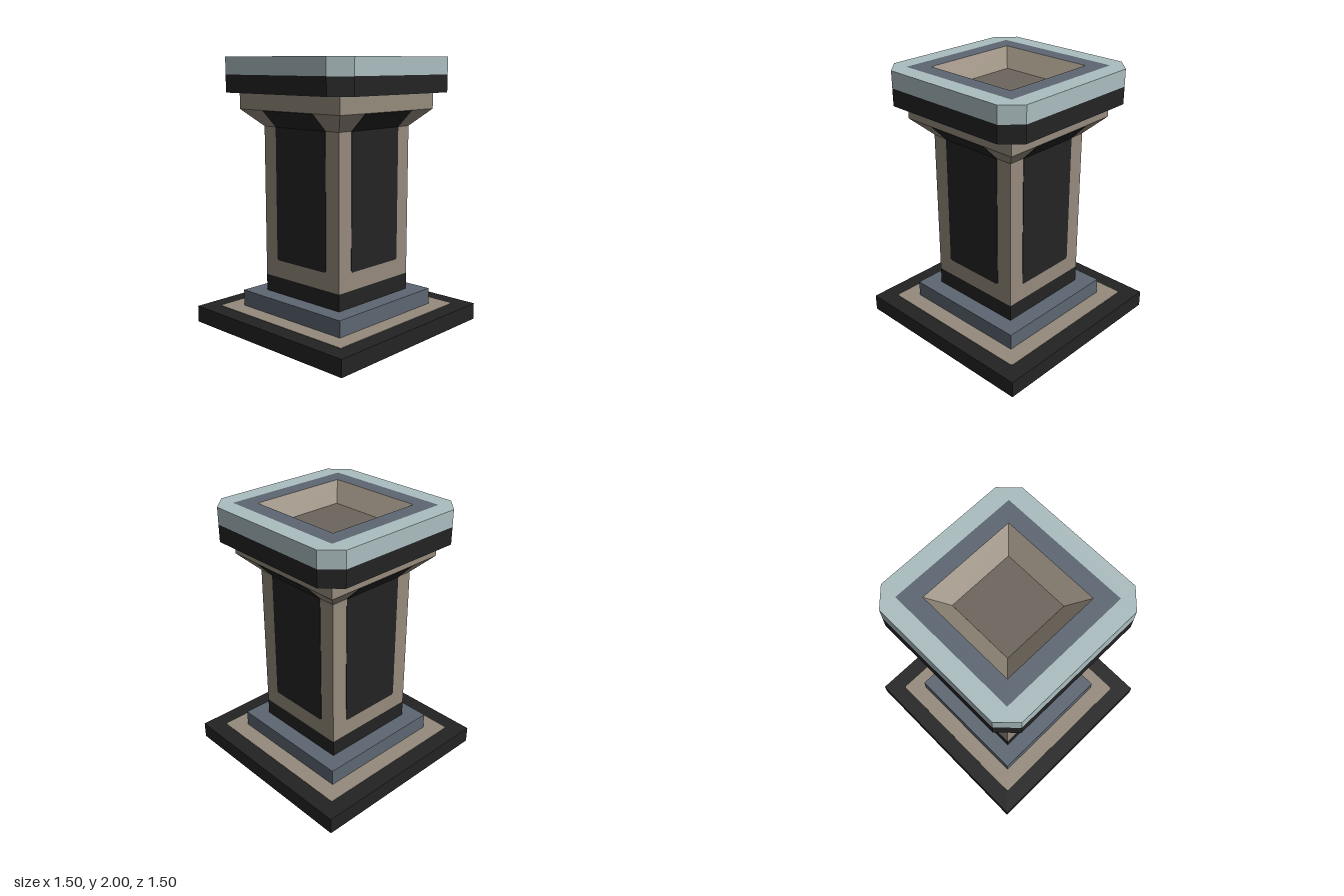
import * as THREE from 'three';

const mat = (name, color) => {
  const m = new THREE.MeshStandardMaterial({ color });
  m.name = name;
  return m;
};

export function createModel() {
  const black = mat('black stone', 0x232323);
  const tan = mat('tan stone', 0x958a7c);
  const slate = mat('slate', 0x5d6772);
  const pale = mat('pale blue stone', 0xabbdc0);
  const floorTone = mat('basin floor', 0x6c655c);

  const group = new THREE.Group();
  group.name = 'pedestal';

  const add = (name, geometry, material, parent = group) => {
    const mesh = new THREE.Mesh(geometry, material);
    mesh.name = name;
    parent.add(mesh);
    return mesh;
  };

  // Square block given by half width and height range
  const block = (name, half, y0, y1, material) => {
    const mesh = add(name, new THREE.BoxGeometry(half * 2, y1 - y0, half * 2), material);
    mesh.position.y = (y0 + y1) / 2;
  };

  // Four-sided tapered shell, flat faced
  const taper = (h0, h1, y0, y1) => {
    const r = Math.SQRT2;
    const indexed = new THREE.CylinderGeometry(h1 * r, h0 * r, y1 - y0, 4, 1, true);
    indexed.rotateY(Math.PI / 4);
    indexed.translate(0, (y0 + y1) / 2, 0);
    return indexed.toNonIndexed();
  };

  // Square outline with cut corners
  const outline = (half, cut, Kind = THREE.Shape) => {
    const a = half - cut;
    const pts = cut
      ? [[a, -half], [half, -a], [half, a], [a, half], [-a, half], [-half, a], [-half, -a], [-a, -half]]
      : [[half, -half], [half, half], [-half, half], [-half, -half]];
    return new Kind(pts.map(([x, y]) => new THREE.Vector2(x, y)));
  };

  // Horizontal slab, optionally with a square hole
  const slab = (name, half, cut, hole, y0, y1, material) => {
    const shape = outline(half, cut);
    if (hole) shape.holes.push(outline(hole, 0, THREE.Path));
    const g = new THREE.ExtrudeGeometry(shape, { depth: y1 - y0, bevelEnabled: false });
    g.rotateX(-Math.PI / 2);
    g.translate(0, y0, 0);
    add(name, g, material);
  };

  // Stepped base
  block('basePlate', 0.75, 0, 0.125, black);
  slab('baseInlay', 0.625, 0.01, 0.49, 0.124, 0.128, tan);
  block('baseStep', 0.5, 0.125, 0.25, slate);
  block('shaftFoot', 0.375, 0.25, 0.375, black);

  // Shaft, flare and neck
  block('shaft', 0.375, 0.375, 1.5, tan);
  const flare = taper(0.375, 0.5, 1.5, 1.625);
  flare.computeVertexNormals();
  add('flare', flare, tan);
  block('neck', 0.5, 1.625, 1.75, tan);

  // Dark recess panels running up the shaft and over the flare
  const panel = new THREE.Shape();
  const w = 0.25, b = 0.507, c = 0.012;
  panel.moveTo(-w + c, b);
  panel.lineTo(w - c, b);
  panel.lineTo(w, b + c);
  panel.lineTo(w, 1.5);
  panel.lineTo(-w, 1.5);
  panel.lineTo(-w, b + c);
  const panelGeo = new THREE.ExtrudeGeometry(panel, { depth: 0.005, bevelEnabled: false });
  const flareGeo = new THREE.BoxGeometry(w * 2, 0.125 * Math.SQRT2, 0.007);
  for (let i = 0; i < 4; i++) {
    const side = new THREE.Group();
    side.name = 'sidePanel';
    side.rotation.y = i * Math.PI / 2;
    add('shaftPanel', panelGeo, black, side).position.z = 0.374;
    const upper = add('flarePanel', flareGeo, black, side);
    upper.position.set(0, 1.5625, 0.4375);
    upper.rotation.x = Math.PI / 4;
    group.add(side);
  }

  // Rim with cut corners
  slab('rimUnderside', 0.624, 0.125, 0.49, 1.747, 1.752, slate);
  slab('lowerRim', 0.625, 0.125, 0, 1.75, 1.875, black);
  slab('upperRim', 0.625, 0.125, 0.495, 1.875, 2, pale);
  slab('innerRim', 0.495, 0, 0.375, 1.876, 2, slate);

  // Sunken basin, turned inside out so its walls face inward
  const basin = taper(0.25, 0.375, 1.876, 2);
  basin.scale(-1, 1, 1);
  const p = basin.attributes.position;
  const a = new THREE.Vector3(), d = new THREE.Vector3();
  const n = new THREE.Vector3().fromBufferAttribute(p, 0);
  a.fromBufferAttribute(p, 1).sub(n);
  d.fromBufferAttribute(p, 2).sub(n);
  if (a.cross(d).dot(new THREE.Vector3(n.x, 0, n.z)) > 0) {
    // keep the winding inward
    for (let i = 0; i < p.count; i += 3) {
      a.fromBufferAttribute(p, i + 1);
      d.fromBufferAttribute(p, i + 2);
      p.setXYZ(i + 1, d.x, d.y, d.z);
      p.setXYZ(i + 2, a.x, a.y, a.z);
    }
  }
  basin.computeVertexNormals();
  add('basinWalls', basin, tan);
  block('basinFloor', 0.251, 1.873, 1.878, floorTone);

  return group;
}
